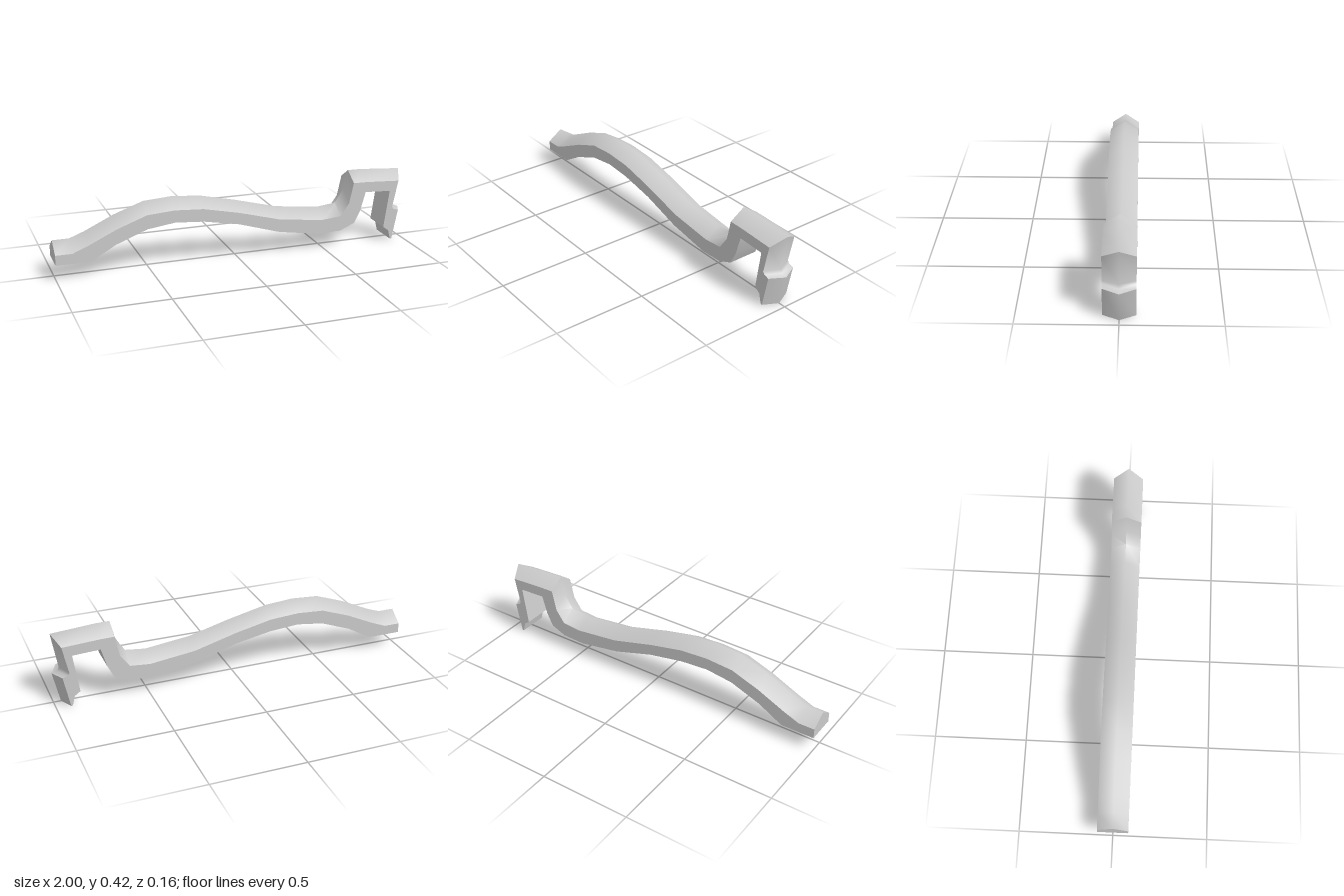
import * as THREE from 'three';
import { toCreasedNormals } from 'three/addons/utils/BufferGeometryUtils.js';

const HALF = 0.082;

// Ridge line along the top, then shoulder line (top of the side walls), same stations
const ridge = [
  [-1, 0.2], [-0.91, 0.2], [-0.83, 0.23], [-0.67, 0.305], [-0.51, 0.362], [-0.36, 0.372],
  [-0.2, 0.36], [0, 0.315], [0.24, 0.252], [0.49, 0.222], [0.6, 0.235], [0.65, 0.31],
  [0.675, 0.418], [0.75, 0.417], [0.99, 0.4], [0.957, 0.2], [0.967, 0.183], [0.997, 0.173], [0.96, 0.002],
];
const shoulder = [
  [-1, 0.143], [-0.91, 0.143], [-0.82, 0.18], [-0.67, 0.25], [-0.51, 0.308], [-0.36, 0.318],
  [-0.2, 0.308], [0, 0.265], [0.24, 0.2], [0.49, 0.17], [0.6, 0.18], [0.65, 0.25],
  [0.675, 0.364], [0.75, 0.363], [0.952, 0.352], [0.92, 0.2], [0.93, 0.187], [0.958, 0.178], [0.924, 0.007],
];
// Underside, continuing up inside the hook and down the clip
const under = [
  [-1, 0.088], [-0.815, 0.088], [-0.68, 0.165], [-0.51, 0.23], [-0.36, 0.25], [-0.2, 0.238],
  [0, 0.2], [0.23, 0.13], [0.47, 0.09], [0.6, 0.095], [0.685, 0.13], [0.72, 0.2],
  [0.75, 0.305], [0.9, 0.297], [0.87, 0.085], [0.902, 0.062], [0.915, 0.01],
];

const at = (p, z) => [p[0], p[1], z];

// Fan-triangulates convex polygons into one geometry
function polygons(list, crease) {
  const v = [];
  for (const p of list)
    for (let i = 1; i < p.length - 1; i++) v.push(...p[0], ...p[i], ...p[i + 1]);
  const g = new THREE.BufferGeometry();
  g.setAttribute('position', new THREE.Float32BufferAttribute(v, 3));
  return toCreasedNormals(g, crease);
}

// Quads between two lines held at depths za and zb
function strip(a, za, b, zb) {
  const out = [];
  for (let i = 0; i < a.length - 1; i++)
    out.push([at(a[i], za), at(a[i + 1], za), at(b[i + 1], zb), at(b[i], zb)]);
  return out;
}

export function createModel() {
  const group = new THREE.Group();
  group.name = 'hookedBeam';
  const material = new THREE.MeshStandardMaterial({ color: 0xcccccc });
  const add = (name, list, crease) => {
    const mesh = new THREE.Mesh(polygons(list, crease), material);
    mesh.name = name;
    group.add(mesh);
  };

  // Ridged top running over the hook and down the clip
  add('ridgedTop', [...strip(shoulder, HALF, ridge, 0), ...strip(ridge, 0, shoulder, -HALF)], 1.25);

  // Underside
  add('underside', strip(under, -HALF, under, HALF), 0.7);

  // Flat side walls
  const outline = [...under, ...[...shoulder].reverse()];
  const faces = THREE.ShapeUtils.triangulateShape(outline.map(p => new THREE.Vector2(...p)), []);
  add('leftWall', faces.map(f => f.map(i => at(outline[i], HALF))), 0.1);
  add('rightWall', faces.map(f => [...f].reverse().map(i => at(outline[i], -HALF))), 0.1);

  // End caps: the plain beam end and the clip tip
  const cap = (s, b, r, z) => [
    [at(s, -z), at(b, -z), at(b, z), at(s, z)],
    [at(s, -z), at(s, z), at(r, 0)],
  ];
  add('beamEnd', cap(shoulder[0], under[0], ridge[0], HALF), 0.1);
  add('clipTip', cap(shoulder.at(-1), under.at(-1), ridge.at(-1), -HALF), 0.1);
  return group;
}
